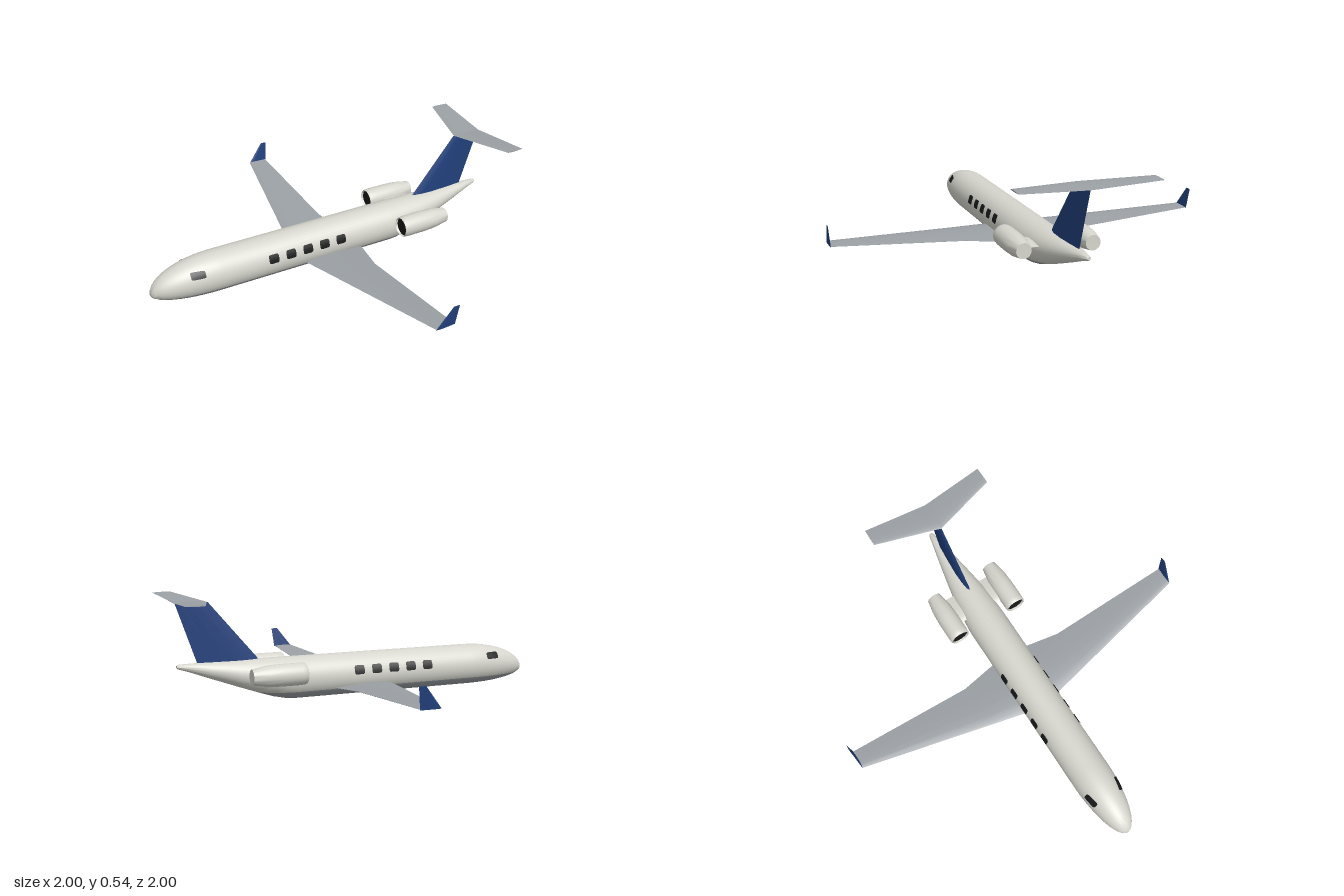
import * as THREE from 'three';
import { toCreasedNormals } from 'three/addons/utils/BufferGeometryUtils.js';

const paint = (name, color, side = THREE.FrontSide) => {
  const m = new THREE.MeshStandardMaterial({ color, side });
  m.name = name;
  return m;
};

// Skin over a list of closed rings; columns from `split` on use the second material
function loft(rings, split = Infinity, crease = 0.7) {
  const n = rings[0].length, upper = [], lower = [];
  rings.slice(1).forEach((_, i) => {
    for (let j = 0; j < n; j++) {
      const a = i * n + j, a1 = i * n + (j + 1) % n;
      (j < split ? upper : lower).push(a, a + n, a1 + n, a, a1 + n, a1);
    }
  });
  const end = (rings.length - 1) * n;
  for (let j = 1; j < n - 1; j++) upper.push(0, j, j + 1, end, end + j + 1, end + j);
  const g = new THREE.BufferGeometry();
  g.setAttribute('position', new THREE.Float32BufferAttribute(rings.flat(2), 3));
  g.setIndex([...upper, ...lower]);
  if (lower.length) {
    g.addGroup(0, upper.length, 0);
    g.addGroup(upper.length, lower.length, 1);
  }
  return toCreasedNormals(g, crease);
}

// Aerofoil surface through sections [leadingX, trailingX, y, z, halfThickness];
// n points to the side that is traced first
const FOIL = [[0.06, 0.55], [0.2, 0.9], [0.4, 1], [0.7, 0.6]];
function foil(sections, n) {
  return loft(sections.map(([x0, x1, y, z, h]) => {
    const at = (u, k) => [x0 + (x1 - x0) * u, y + n[1] * h * k, z + n[2] * h * k];
    return [at(0, 0), ...FOIL.map(([u, k]) => at(u, k)), at(1, 0.06),
      at(1, -0.06), ...FOIL.slice().reverse().map(([u, k]) => at(u, -k))];
  }));
}

// Fuselage stations [x, bottom, top, halfWidth]
const STATIONS = [];
for (let i = 0; i <= 12; i++) {
  const t = 0.08 + (Math.PI / 2 - 0.08) * i / 12, f = Math.sin(t);
  STATIONS.push([-0.65 - 0.35 * Math.cos(t), 0.068 * (1 - f), 0.068 + 0.15 * f, 0.107 * f]);
}
STATIONS.push(
  [0.36, 0, 0.218, 0.107], [0.4, 0.003, 0.218, 0.106], [0.47, 0.018, 0.218, 0.101],
  [0.55, 0.044, 0.218, 0.092], [0.65, 0.079, 0.217, 0.075], [0.8, 0.134, 0.216, 0.046],
  [0.9, 0.172, 0.215, 0.025], [0.955, 0.19, 0.214, 0.014], [0.963, 0.195, 0.21, 0.009]);
const BELLY_Y = 0.046;

function fuselageGeometry() {
  const N = 28, M = 14;
  const rings = STATIONS.map(([x, b, t, w]) => {
    const cy = (b + t) / 2, h = (t - b) / 2;
    const s = Math.asin(THREE.MathUtils.clamp((BELLY_Y - cy) / h, -1, 1));
    const ring = [];
    for (let j = 0; j < N + M; j++) {
      const a = j < N ? s + (Math.PI - 2 * s) * j / N
        : Math.PI - s + (Math.PI + 2 * s) * (j - N) / M;
      ring.push([x, cy + h * Math.sin(a), w * Math.cos(a)]);
    }
    return ring;
  });
  return loft(rings, N, 0.8);
}

// Half width of the hull at a given x and y
function hullZ(x, y) {
  const i = Math.max(1, STATIONS.findIndex(s => s[0] >= x));
  const p = STATIONS[i - 1], q = STATIONS[i], k = (x - p[0]) / (q[0] - p[0]);
  const [, b, t, w] = p.map((v, j) => v + (q[j] - v) * k);
  return w * Math.sqrt(Math.max(0, 1 - ((y - (b + t) / 2) / ((t - b) / 2)) ** 2));
}

// Thin window pane that follows the hull
function pane(x, y, w, h, side) {
  const r = Math.min(w, h) * 0.15, s = new THREE.PlaneGeometry(w, h, 6, 4);
  const p = s.attributes.position;
  for (let i = 0; i < p.count; i++) {
    let px = p.getX(i), py = p.getY(i);
    if (Math.abs(px) > w * 0.49 && Math.abs(py) > h * 0.49) {
      px -= Math.sign(px) * r * 0.4;
      py -= Math.sign(py) * r * 0.4;
    }
    px += x;
    py += y;
    p.setXYZ(i, px, py, side * (hullZ(px, py) + 0.003));
  }
  s.computeVertexNormals();
  return s;
}

export function createModel() {
  const white = paint('warm white', 0xd6d6ce);
  const grey = paint('wing grey', 0x9ca1a5);
  const blue = paint('tail blue', 0x21407c);
  const dark = paint('window black', 0x18191a, THREE.DoubleSide);

  const model = new THREE.Group();
  model.name = 'businessJet';
  const add = (name, geometry, material) => {
    const m = new THREE.Mesh(geometry, material);
    m.name = name;
    model.add(m);
    return m;
  };

  add('fuselage', fuselageGeometry(), [white, grey]);

  // Swept fin carrying the tailplane
  add('fin', foil([[0.53, 0.855, 0.2, 0, 0.014], [0.8, 0.965, 0.516, 0, 0.007]], [0, 0, -1]), blue);

  for (const s of [1, -1]) {
    const side = s > 0 ? 'front' : 'back';

    // Wing with a trailing edge kink, and its upturned tip
    add(side + 'Wing', foil([
      [-0.19, 0.18, 0.045, 0, 0.02], [-0.168, 0.16, 0.052, s * 0.1, 0.018],
      [-0.125, 0.12, 0.067, s * 0.3, 0.011], [0.022, 0.126, 0.116, s * 0.985, 0.004],
    ], [0, s, 0]), grey);
    add(side + 'Winglet', foil([
      [0.022, 0.128, 0.113, s * 0.984, 0.004], [0.105, 0.14, 0.222, s * 0.996, 0.002],
    ], [0, 0, -1]), blue);

    add(side + 'Tailplane', foil([
      [0.805, 0.97, 0.517, 0, 0.007], [0.9, 0.998, 0.538, s * 0.346, 0.003],
    ], [0, s, 0]), grey);

    // Engine nacelle, intake and pylon
    const profile = [[0.045, 0.03], [0.05, 0], [0.054, 0.006], [0.056, 0.03], [0.056, 0.13],
      [0.053, 0.2], [0.039, 0.28], [0.034, 0.28], [0, 0.278]];
    const shell = new THREE.LatheGeometry(profile.map(p => new THREE.Vector2(...p)), 32);
    shell.rotateZ(-Math.PI / 2);
    add(side + 'Nacelle', toCreasedNormals(shell, 0.6), white).position.set(0.355, 0.157, s * 0.178);
    const intake = new THREE.CircleGeometry(0.048, 32).rotateY(-Math.PI / 2);
    add(side + 'Intake', intake, dark).position.set(0.367, 0.157, s * 0.178);
    add(side + 'Pylon', foil([
      [0.43, 0.59, 0.155, s * 0.07, 0.01], [0.43, 0.59, 0.155, s * 0.14, 0.01],
    ], [0, s, 0]), white);

    // Cabin and cockpit windows
    for (let i = 0; i < 5; i++) {
      add(side + 'CabinWindow' + (i + 1), pane(-0.364 + i * 0.0985, 0.14, 0.056, 0.046, s), dark);
    }
    add(side + 'CockpitWindow', pane(-0.773, 0.16, 0.075, 0.034, s), dark);
  }
  return model;
}
